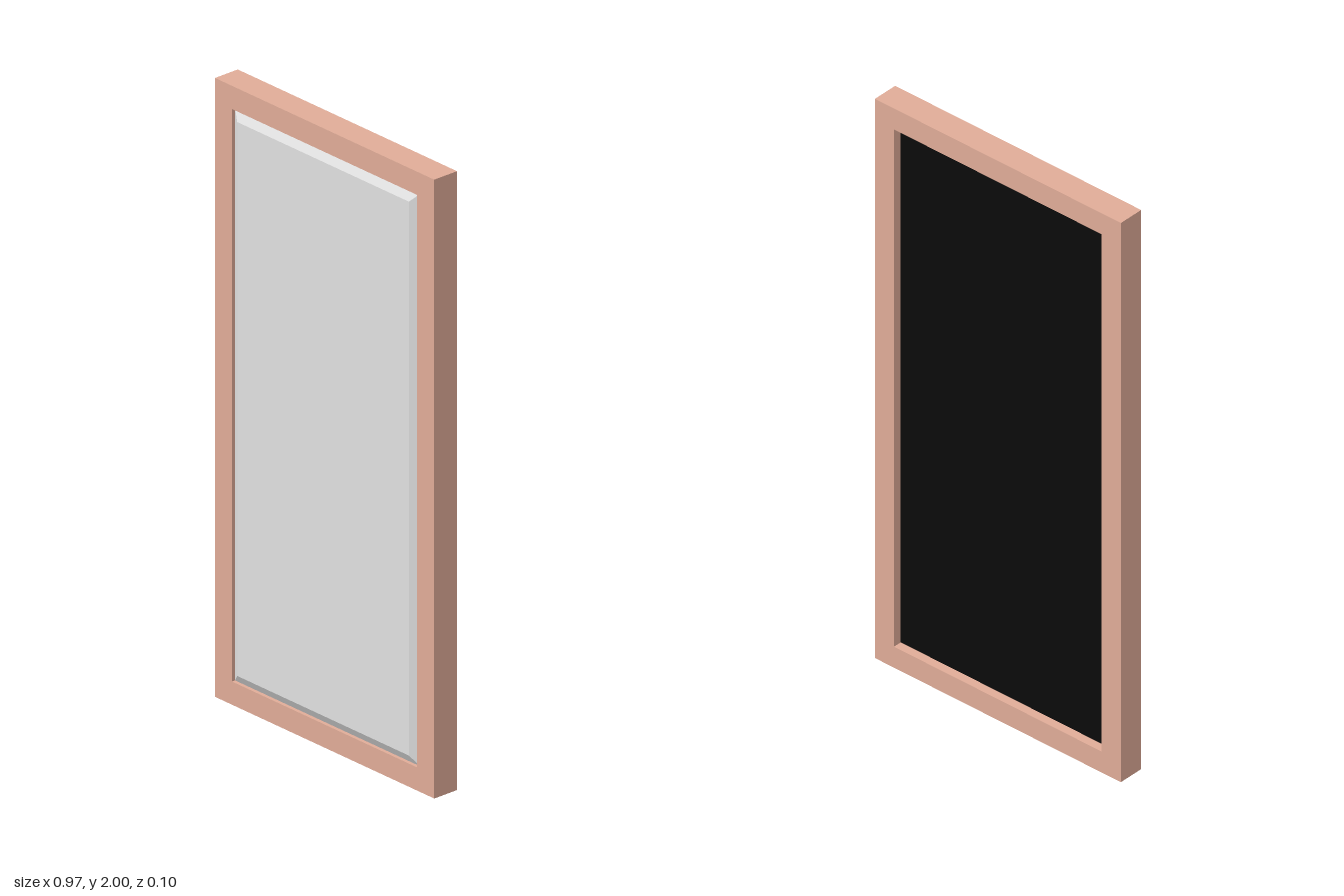
import * as THREE from 'three';

const W = 0.483, H = 1, BORDER = 0.075; // half width, half height, frame border
const BACK = -0.05, FRONT = 0.04;

// Four quads joining two rectangular rings [halfWidth, halfHeight, z]
function ringBand(a, b) {
  const corners = ([w, h, z]) => [[-w, -h, z], [w, -h, z], [w, h, z], [-w, h, z]];
  const p = corners(a), q = corners(b), pos = [];
  for (let i = 0; i < 4; i++) {
    const j = (i + 1) % 4;
    pos.push(...p[i], ...p[j], ...q[j], ...p[i], ...q[j], ...q[i]);
  }
  const g = new THREE.BufferGeometry();
  g.setAttribute('position', new THREE.Float32BufferAttribute(pos, 3));
  g.computeVertexNormals();
  return g;
}

export function createModel() {
  const wood = new THREE.MeshStandardMaterial({ color: 0xe0ac98 });
  wood.name = 'rosy wood';
  const glass = new THREE.MeshStandardMaterial({ color: 0xe0e0e0 });
  glass.name = 'silver glass';
  const black = new THREE.MeshStandardMaterial({ color: 0x0b0b0b });
  black.name = 'black backing';

  const model = new THREE.Group();
  model.name = 'framedMirror';
  const add = (name, geometry, material, parent, z = 0) => {
    const mesh = new THREE.Mesh(geometry, material);
    mesh.name = name;
    mesh.position.z = z;
    parent.add(mesh);
    return mesh;
  };

  // Four mitred rails, each a trapezoid extruded through the frame's depth
  const frame = new THREE.Group();
  frame.name = 'frame';
  model.add(frame);
  const rail = (name, half, offset, angle) => {
    const shape = new THREE.Shape([
      [-half, offset], [-half + BORDER, offset - BORDER],
      [half - BORDER, offset - BORDER], [half, offset],
    ].map(([x, y]) => new THREE.Vector2(x, y)));
    const g = new THREE.ExtrudeGeometry(shape, { depth: FRONT - BACK, bevelEnabled: false });
    add(name, g, wood, frame, BACK).rotation.z = angle;
  };
  rail('topRail', W, H, 0);
  rail('leftRail', H, W, -Math.PI / 2);
  rail('bottomRail', W, H, Math.PI);
  rail('rightRail', H, W, Math.PI / 2);

  // Mirror pane with a bevelled edge standing slightly proud of the frame
  const iw = W - BORDER, ih = H - BORDER, bevel = 0.03;
  const mirror = new THREE.Group();
  mirror.name = 'mirror';
  model.add(mirror);
  add('mirrorBevel', ringBand([iw, ih, 0.028], [iw - bevel, ih - bevel, 0.046]), glass, mirror);
  add('mirrorFace', new THREE.PlaneGeometry(2 * (iw - bevel), 2 * (ih - bevel)), glass, mirror, 0.046);

  // Backing board recessed behind the frame
  add('backingBoard', new THREE.BoxGeometry(2 * iw, 2 * ih, 0.04), black, model, 0);

  // Stand the frame on the ground
  model.children.forEach((part) => { part.position.y = H; });
  return model;
}
